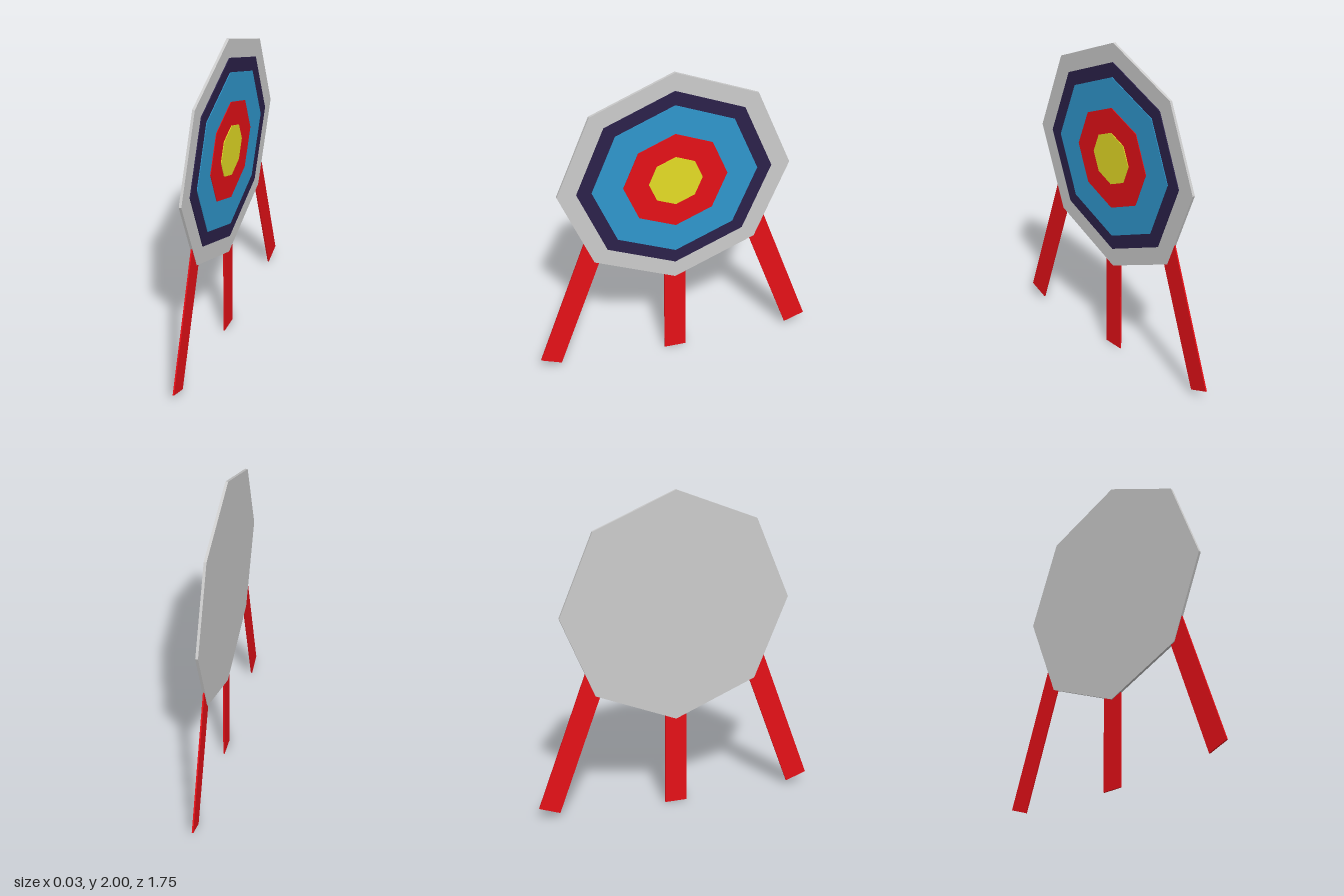
import * as THREE from 'three';

const CENTRE_Y = 1.28, CENTRE_Z = -0.004, BACK = -0.017;

function material(color) {
  return new THREE.MeshStandardMaterial({ color, flatShading: true });
}

// Octagonal disc facing +x, spanning x0..x1, with a corner at the top
function disc(name, radius, x0, x1, color) {
  const geometry = new THREE.CylinderGeometry(radius, radius, x1 - x0, 8);
  geometry.rotateZ(-Math.PI / 2);
  const mesh = new THREE.Mesh(geometry, material(color));
  mesh.name = name;
  mesh.position.set((x0 + x1) / 2, CENTRE_Y, CENTRE_Z);
  return mesh;
}

// Flat plank whose foot is at (y, z), leaning by tilt about x
function leg(name, y, z, tilt, mat) {
  const length = 1.0;
  const geometry = new THREE.BoxGeometry(0.009, length, 0.138);
  geometry.translate(0, length / 2, 0);
  const mesh = new THREE.Mesh(geometry, mat);
  mesh.name = name;
  mesh.position.set(-0.008, y, z);
  mesh.rotation.x = tilt;
  return mesh;
}

export function createModel() {
  const model = new THREE.Group();
  model.name = 'archeryTarget';

  // Backing board
  model.add(disc('board', 0.72, BACK, -0.001, 0xcccccc));

  // Coloured rings, each standing slightly prouder than the one outside it
  const rings = [
    ['outerRing', 0.603, 0.005, 0x2b214a],
    ['blueRing', 0.512, 0.009, 0x2f97cd],
    ['redRing', 0.322, 0.013, 0xe61017],
    ['bullseye', 0.166, 0.017, 0xe5dc25],
  ];
  for (const [name, radius, front, color] of rings) {
    model.add(disc(name, radius, -0.008, front, color));
  }

  // Three legs: one upright, two splayed
  const red = material(0xe61017);
  const tilt = THREE.MathUtils.degToRad(20);
  model.add(leg('middleLeg', 0, CENTRE_Z, 0, red));
  for (const side of [1, -1]) {
    model.add(leg(side > 0 ? 'frontLeg' : 'backLeg', 0.053, CENTRE_Z + side * 0.811, -side * tilt, red));
  }
  return model;
}
